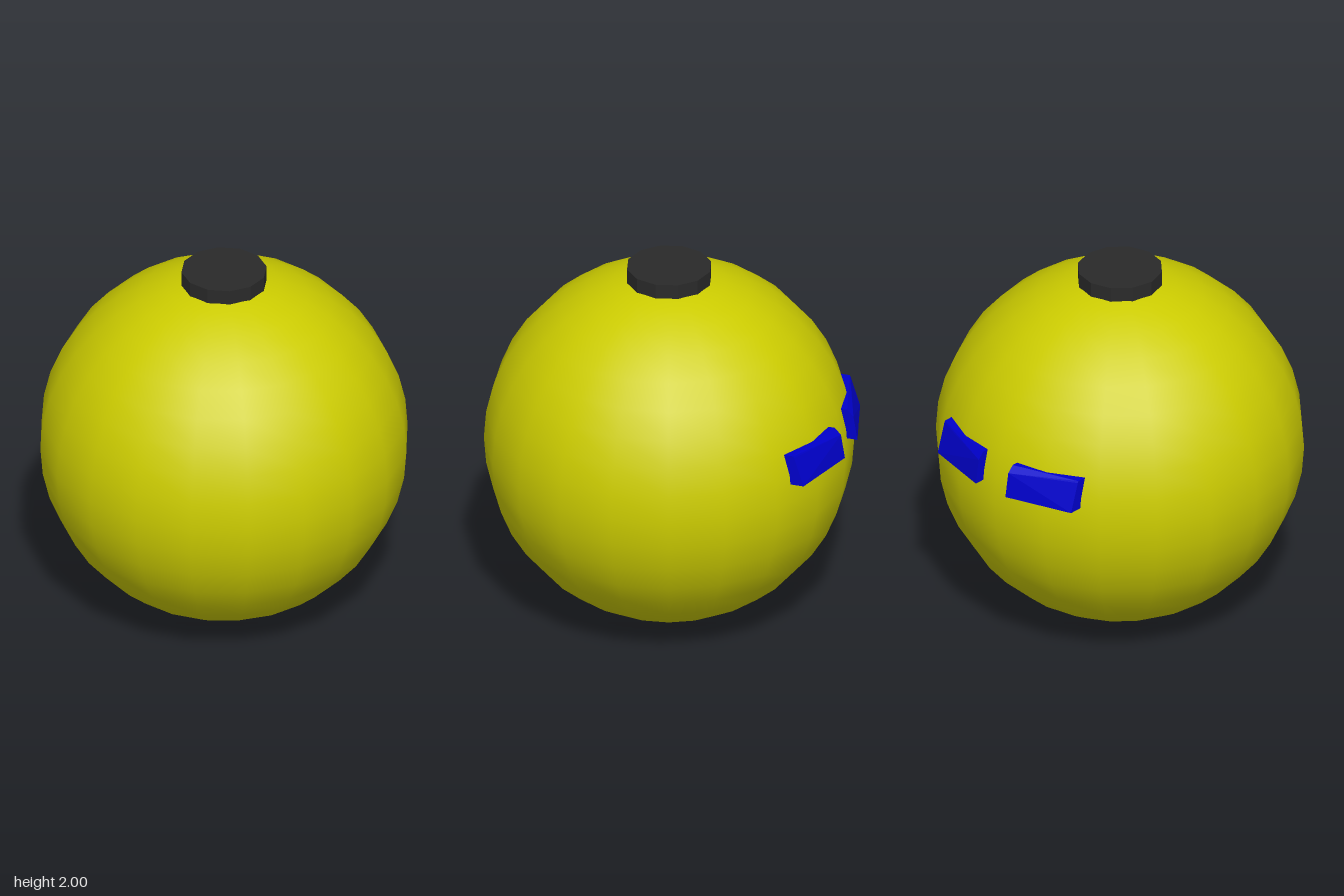
import * as THREE from 'three';
import { ConvexGeometry } from 'three/addons/geometries/ConvexGeometry.js';

const R = 0.974;      // body radius
const CZ = 0.016;     // body centre, slightly forward because the bars overhang the back

function addMesh(group, name, geometry, color, flat) {
  const material = new THREE.MeshStandardMaterial({ color, flatShading: flat });
  const mesh = new THREE.Mesh(geometry, material);
  mesh.name = name;
  group.add(mesh);
  return mesh;
}

// Slanted bar: hull of an inner and an outer cross-section, each a list of [y, z]
function barGeometry(side) {
  const sections = [
    [0.105, [[1.075, -0.80], [1.075, -0.992], [1.21, -0.97], [1.245, -0.935], [1.245, -0.80]]],
    [0.475, [[1.075, -0.70], [1.075, -0.885], [1.235, -0.833], [1.245, -0.828], [1.245, -0.70]]],
  ];
  const points = sections.flatMap(([x, ring]) =>
    ring.map(([y, z]) => new THREE.Vector3(side * x, y, z)));
  return new ConvexGeometry(points);
}

export function createModel() {
  const model = new THREE.Group();
  model.name = 'ball';

  // Smooth round body
  addMesh(model, 'body', new THREE.SphereGeometry(R, 20, 20), 0xcccc00, false)
    .position.set(0, R, CZ);

  // Twelve-sided lid on top
  addMesh(model, 'lid', new THREE.CylinderGeometry(0.226, 0.226, 0.12, 12), 0x2a2a2a, true)
    .position.set(0, 1.94, CZ);

  // Mirrored pair of bars on the back
  for (const side of [1, -1]) {
    addMesh(model, side > 0 ? 'leftBar' : 'rightBar', barGeometry(side), 0x0000cc, true);
  }
  return model;
}
